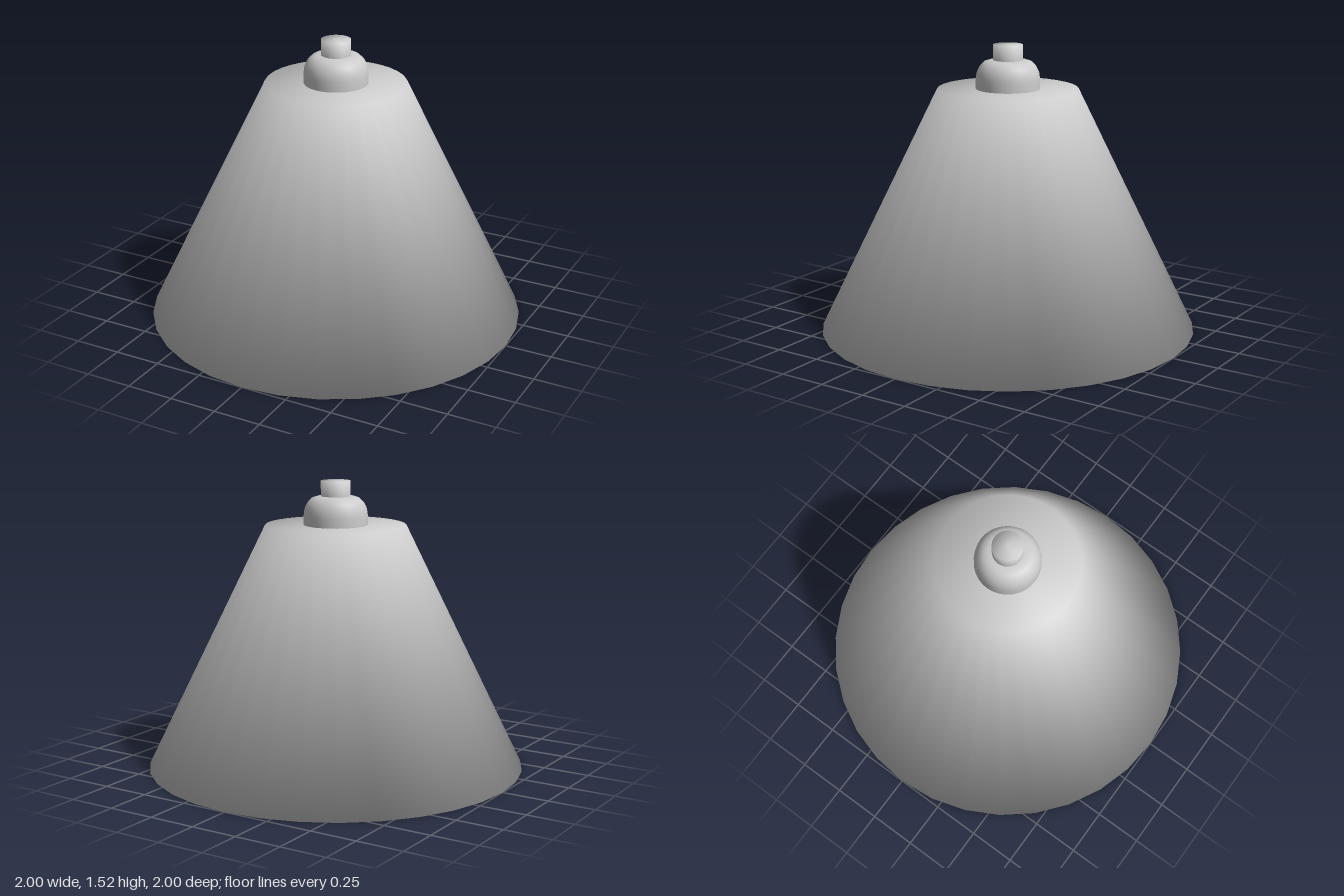
import * as THREE from 'three';

const SEGMENTS = 32;

// Lathe whose normals average the neighbouring profile faces equally, for a soft look
function softLathe(name, profile) {
  const points = profile.map(([r, y]) => new THREE.Vector2(r, y));
  const faceNormals = points.slice(1).map((p, i) =>
    new THREE.Vector2(p.y - points[i].y, points[i].x - p.x).normalize());
  const rowNormals = points.map((p, i) => {
    if (p.x === 0) return new THREE.Vector2(0, Math.sign((faceNormals[i] ?? faceNormals[i - 1]).y));
    const n = new THREE.Vector2();
    if (i > 0) n.add(faceNormals[i - 1]);
    if (i < faceNormals.length) n.add(faceNormals[i]);
    return n.normalize();
  });
  const geometry = new THREE.LatheGeometry(points, SEGMENTS);
  const normals = geometry.attributes.normal;
  for (let s = 0; s <= SEGMENTS; s++) {
    const a = (s / SEGMENTS) * Math.PI * 2;
    rowNormals.forEach((n, j) =>
      normals.setXYZ(s * points.length + j, n.x * Math.sin(a), n.y, n.x * Math.cos(a)));
  }
  const mesh = new THREE.Mesh(geometry, new THREE.MeshStandardMaterial({ color: 0xcccccc }));
  mesh.name = name;
  return mesh;
}

export function createModel() {
  const lamp = new THREE.Group();
  lamp.name = 'pendantLamp';

  // Conical shade: inner ceiling, inner wall, rim, outer wall, flat top
  lamp.add(softLathe('shade', [
    [0, 1.26], [0.35, 1.26], [0.965, 0], [1, 0], [0.37, 1.29], [0, 1.29],
  ]));

  // Rounded cap and cord stem above the shade
  lamp.add(softLathe('cap', [
    [0.168, 1.29], [0.168, 1.34], [0.163, 1.375], [0.148, 1.407],
    [0.125, 1.43], [0.1, 1.438], [0.078, 1.44],
  ]));
  lamp.add(softLathe('stem', [[0.078, 1.43], [0.078, 1.52], [0, 1.52]]));

  // Bulb: round lower globe narrowing to a neck
  const radius = 0.38, centreY = 0.4;
  const bulbProfile = [];
  for (let i = 0; i <= 14; i++) {
    const a = (i / 14) * Math.PI * 0.68;
    bulbProfile.push([radius * Math.sin(a), centreY - radius * Math.cos(a)]);
  }
  bulbProfile.push([0.22, 0.74], [0.16, 0.86], [0.14, 0.98]);
  lamp.add(softLathe('bulb', bulbProfile));

  // Socket joining the bulb to the top of the shade
  lamp.add(softLathe('socket', [[0, 0.96], [0.16, 0.96], [0.16, 1.27]]));

  return lamp;
}
